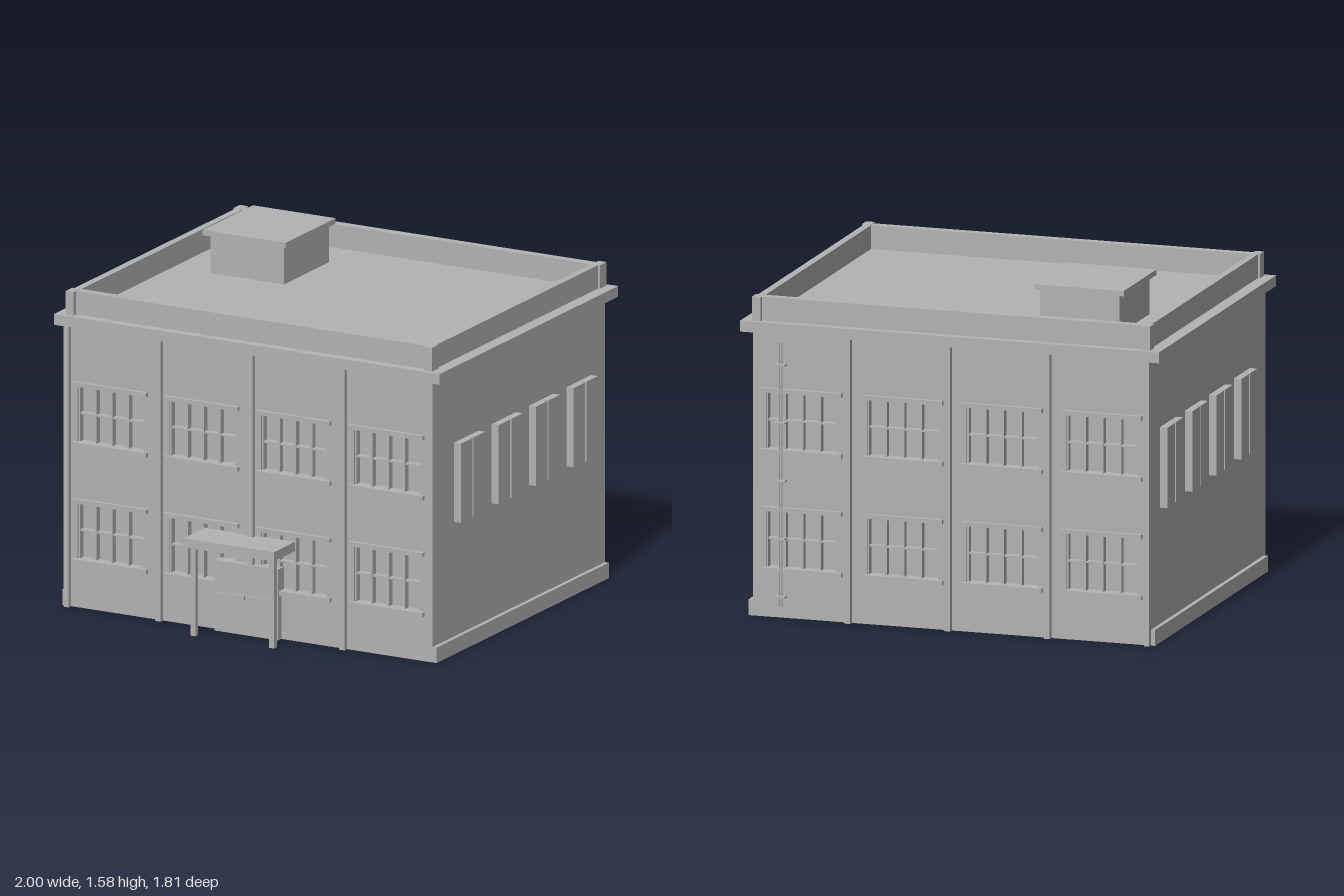
import * as THREE from 'three';

const FRONT = 0.717, BACK = -0.872, RECESS = 0.04, HALF = 0.95, WALL_TOP = 1.32;
const WINDOW_X = [-0.718, -0.243, 0.233, 0.715];
const WINDOW_Y = [0.23, 0.78];
const WIN_W = 0.345, WIN_H = 0.263;

export function createModel() {
  const grey = new THREE.MeshStandardMaterial({ color: 0xb3b3b3 });
  grey.name = 'plain grey';
  const model = new THREE.Group();
  model.name = 'building';

  // Box given by its extents on each axis
  const box = (parent, name, x0, x1, y0, y1, z0, z1) => {
    const mesh = new THREE.Mesh(new THREE.BoxGeometry(x1 - x0, y1 - y0, z1 - z0), grey);
    mesh.position.set((x0 + x1) / 2, (y0 + y1) / 2, (z0 + z1) / 2);
    mesh.name = name;
    parent.add(mesh);
    return mesh;
  };

  // Solid core, whose ends are the window panes
  box(model, 'core', -HALF, HALF, 0, WALL_TOP, BACK + RECESS, FRONT - RECESS);

  // Windowed walls: local z = 0 is the outer wall face, local +z points outward
  const facade = (name, side) => {
    const g = new THREE.Group();
    g.name = name;
    const wall = new THREE.Shape([
      new THREE.Vector2(-HALF, 0), new THREE.Vector2(HALF, 0),
      new THREE.Vector2(HALF, WALL_TOP), new THREE.Vector2(-HALF, WALL_TOP),
    ]);
    for (const wx of WINDOW_X) for (const y of WINDOW_Y) {
      const x = wx * side;
      const a = x - WIN_W / 2, b = x + WIN_W / 2, c = y + WIN_H;
      wall.holes.push(new THREE.Path([
        new THREE.Vector2(a, y), new THREE.Vector2(a, c),
        new THREE.Vector2(b, c), new THREE.Vector2(b, y),
      ]));
      // Lintel, sill and glazing bars
      box(g, 'lintel', a - 0.02, b + 0.02, c, c + 0.02, -0.01, 0.02);
      box(g, 'sill', a - 0.02, b + 0.02, y - 0.02, y, -0.01, 0.02);
      for (let i = 0; i <= 4; i++) {
        const m = a + 0.004 + (i / 4) * (WIN_W - 0.008);
        box(g, 'mullion', m - 0.004, m + 0.004, y, c, -RECESS, -0.008);
      }
      box(g, 'transom', a, b, y + WIN_H / 2 - 0.004, y + WIN_H / 2 + 0.004, -RECESS, -0.01);
    }
    const mesh = new THREE.Mesh(
      new THREE.ExtrudeGeometry(wall, { depth: RECESS, bevelEnabled: false }), grey);
    mesh.position.z = -RECESS;
    mesh.name = 'wall';
    g.add(mesh);
    // Pilasters, the first at the corner
    for (const [p, q] of [[-0.95, -0.925], [-0.475, -0.447], [0, 0.03], [0.477, 0.507]]) {
      box(g, 'pilaster', Math.min(p * side, q * side), Math.max(p * side, q * side), 0, WALL_TOP, -0.005, 0.024);
    }
    g.position.z = side > 0 ? FRONT : BACK;
    if (side < 0) g.rotation.y = Math.PI;
    model.add(g);
  };
  facade('frontFacade', 1);
  facade('backFacade', -1);

  // Side plinths and paired side window panels
  for (const s of [-1, 1]) {
    const sideBox = (name, x0, x1, y0, y1, z0, z1) =>
      box(model, name, Math.min(s * x0, s * x1), Math.max(s * x0, s * x1), y0, y1, z0, z1);
    sideBox('plinth', HALF - 0.01, 0.97, 0, 0.073, BACK, FRONT);
    for (const z of [0.408, 0.06, -0.283, -0.632]) {
      sideBox('sideWindowBacking', HALF - 0.01, 0.972, 0.612, 0.985, z - 0.112, z + 0.112);
      sideBox('sideWindowPanel', 0.96, 0.986, 0.612, 0.985, z - 0.112, z - 0.006);
      sideBox('sideWindowPanel', 0.96, 0.986, 0.612, 0.985, z + 0.006, z + 0.112);
    }
  }

  // Cornice slab and flat roof
  box(model, 'cornice', -1, 1, WALL_TOP, 1.37, -0.906, 0.743);

  // Parapet ring with corner posts
  const P0 = 1.365, P1 = 1.48;
  box(model, 'frontParapet', -0.94, 0.94, P0, P1, 0.657, 0.7);
  box(model, 'backParapet', -0.94, 0.94, P0, P1, -0.867, -0.824);
  for (const s of [-1, 1]) {
    box(model, 'sideParapet', s * 0.9225 - 0.0175, s * 0.9225 + 0.0175, P0, P1, -0.83, 0.665);
    for (const z of [-0.856, 0.693])
      box(model, 'cornerPost', s * 0.929 - 0.021, s * 0.929 + 0.021, P0, P1 + 0.001, z - 0.03, z + 0.03);
  }

  // Roof hut
  box(model, 'roofHut', -0.71, -0.33, 1.36, 1.55, -0.605, -0.187);
  box(model, 'roofHutCap', -0.737, -0.307, 1.55, 1.575, -0.625, -0.163);

  // Entrance: doors, push bars and canopy on posts
  box(model, 'doors', -0.165, 0.165, 0, 0.333, 0.69, 0.745);
  box(model, 'pushBar', -0.163, -0.008, 0.166, 0.186, 0.74, 0.755);
  box(model, 'pushBar', 0.004, 0.158, 0.166, 0.186, 0.74, 0.755);
  box(model, 'canopy', -0.235, 0.233, 0.422, 0.465, 0.71, 0.906);
  for (const x of [-0.207, 0.202]) {
    box(model, 'canopyPost', x - 0.013, x + 0.013, 0, 0.425, 0.845, 0.871);
  }

  // Rear downpipe with brackets
  const pipe = new THREE.Mesh(new THREE.CylinderGeometry(0.008, 0.008, 1.225, 8), grey);
  pipe.position.set(0.81, 0.667, -0.889);
  pipe.name = 'downpipe';
  model.add(pipe);
  for (let i = 0; i < 5; i++) {
    const y = 0.1 + i * 0.269;
    box(model, 'pipeBracket', 0.787, 0.833, y - 0.004, y + 0.004, -0.906, BACK + 0.01);
  }
  return model;
}
